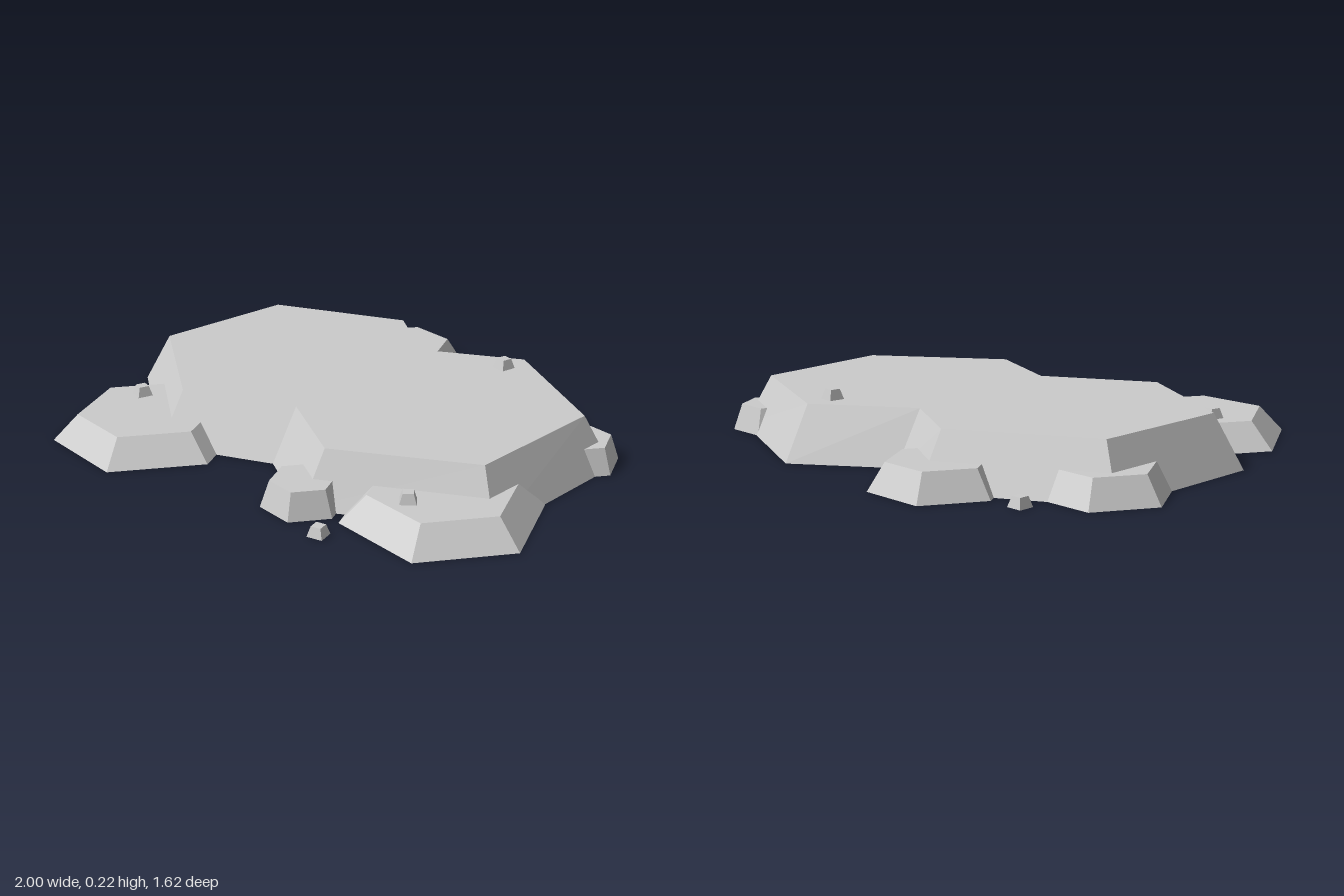
import * as THREE from 'three';

const material = new THREE.MeshStandardMaterial({ color: 0xcccccc, flatShading: true });

// Closed plateau between a wide foot outline and a narrower top outline, both [x, z]
function plateauGeometry(foot, top, height) {
  const n = foot.length;
  const positions = [], index = [];
  for (const [x, z] of foot) positions.push(x, 0, z);
  for (const [x, z] of top) positions.push(x, height, z);
  for (let i = 0; i < n; i++) {
    const j = (i + 1) % n;
    index.push(i, j, n + j, i, n + j, n + i);
  }
  const cap = (loop, offset, up) => {
    const points = loop.map(([x, z]) => new THREE.Vector2(x, z));
    for (const [a, b, c] of THREE.ShapeUtils.triangulateShape(points, [])) {
      const turn = (points[b].x - points[a].x) * (points[c].y - points[a].y)
        - (points[b].y - points[a].y) * (points[c].x - points[a].x);
      // a negative turn in x, z faces up
      if ((turn < 0) === up) index.push(offset + a, offset + b, offset + c);
      else index.push(offset + a, offset + c, offset + b);
    }
  };
  cap(foot, 0, false);
  cap(top, n, true);
  const geometry = new THREE.BufferGeometry();
  geometry.setAttribute('position', new THREE.Float32BufferAttribute(positions, 3));
  geometry.setIndex(index);
  const flat = geometry.toNonIndexed();
  flat.computeVertexNormals();
  return flat;
}

export function createModel() {
  const group = new THREE.Group();
  const add = (name, geometry, x = 0, y = 0, z = 0, turn = 0) => {
    const mesh = new THREE.Mesh(geometry, material);
    mesh.name = name;
    mesh.position.set(x, y, z);
    mesh.rotation.y = turn;
    group.add(mesh);
  };

  // Main plateau, outlines run counter-clockwise seen from above
  const foot = [
    [-0.905, 0.23], [-0.36, 0.545], [0.01, 0.335], [0.335, 0.475], [0.85, 0.11],
    [0.785, -0.525], [0.215, -0.775], [-0.09, -0.555], [-0.36, -0.705], [-0.905, -0.395],
  ];
  const top = [
    [-0.815, 0.18], [-0.36, 0.44], [0.01, 0.23], [0.33, 0.37], [0.755, 0.065],
    [0.705, -0.46], [0.225, -0.67], [-0.09, -0.45], [-0.36, -0.605], [-0.815, -0.345],
  ];
  add('plateau', plateauGeometry(foot, top, 0.185));

  // Hexagonal ledges around the rim: name, x, z, top radius, foot radius
  const ledgeHeight = 0.092;
  const ledges = [
    ['backLedge', -0.36, -0.615, 0.172, 0.23],
    ['rightLedge', -0.77, -0.302, 0.172, 0.23],
    ['frontRightLedge', -0.475, 0.508, 0.252, 0.342],
    ['frontSmallLedge', 0.305, 0.44, 0.112, 0.144],
    ['frontLeftLedge', 0.655, 0.147, 0.252, 0.342],
    ['backLeftLedge', 0.678, -0.474, 0.112, 0.144],
  ];
  for (const [name, x, z, rTop, rFoot] of ledges) {
    add(name, new THREE.CylinderGeometry(rTop, rFoot, ledgeHeight, 6), x, ledgeHeight / 2, z, Math.PI / 6);
  }

  // Small four-sided pebbles: x, ground height, z, turn
  const pebbles = [
    [-0.70, 0, -0.60, 0],
    [0.228, 0.185, -0.56, -0.1],
    [0.648, ledgeHeight, 0.295, -0.75],
    [0.505, 0, 0.543, 0.35],
    [-0.60, ledgeHeight, 0.452, -0.2],
  ];
  const pebble = new THREE.CylinderGeometry(0.025, 0.039, 0.035, 4);
  pebble.rotateY(Math.PI / 4);
  for (const [x, y, z, turn] of pebbles) add('pebble', pebble, x, y + 0.0175, z, turn);

  return group;
}
